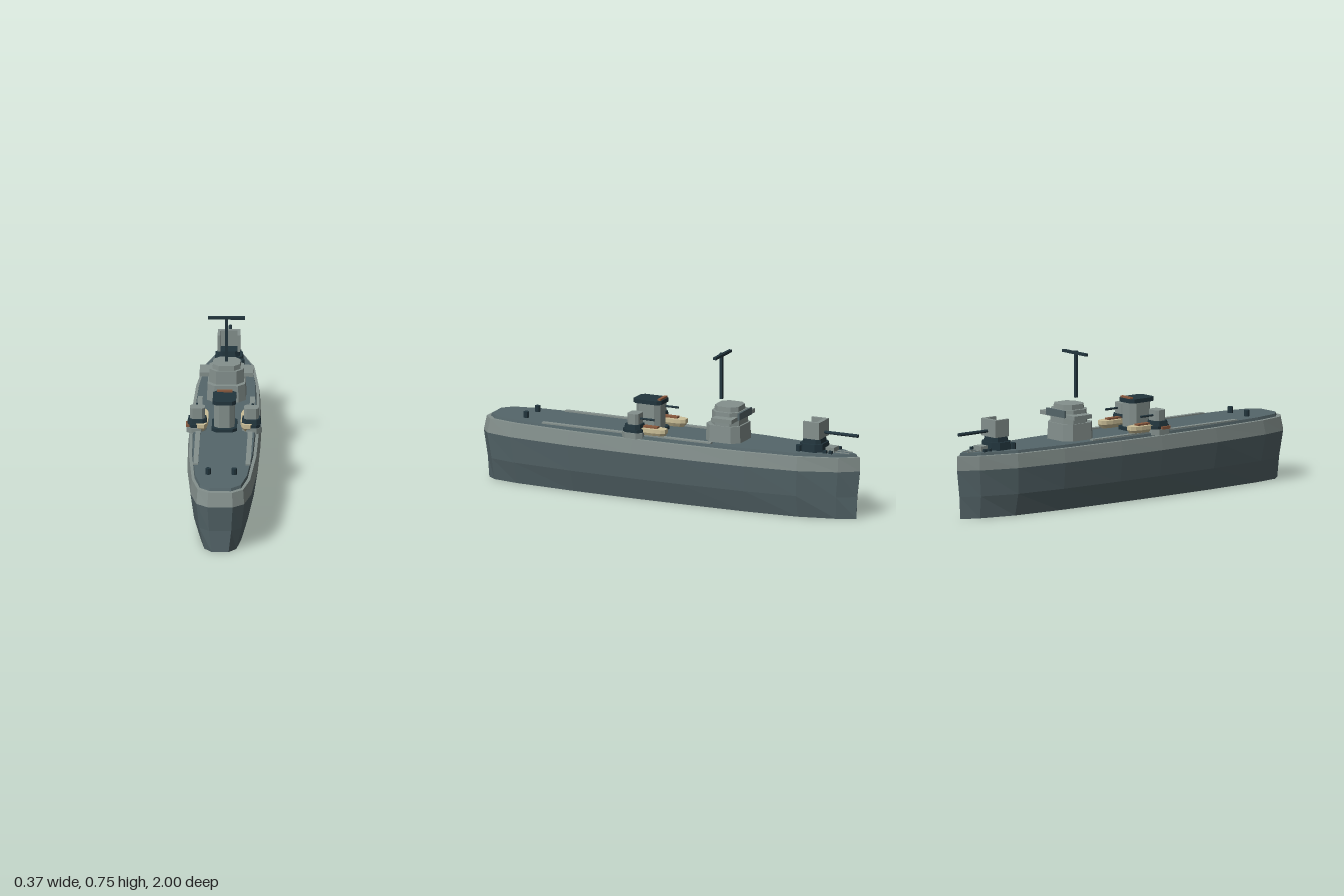
import * as THREE from 'three';

const mat = (name, color, side = THREE.FrontSide) => {
  const m = new THREE.MeshStandardMaterial({ color, flatShading: true, side });
  m.name = name;
  return m;
};

// Joins closed rings of [x, y, z] points (clockwise from above), with optional end caps.
function loft(rings, capBottom = true, capTop = true) {
  const n = rings[0].length, pos = [];
  const tri = (...p) => p.forEach((v) => pos.push(...v));
  for (let r = 0; r < rings.length - 1; r++) {
    for (let i = 0; i < n; i++) {
      const j = (i + 1) % n, lo = rings[r], up = rings[r + 1];
      tri(lo[i], up[i], up[j]);
      tri(lo[i], up[j], lo[j]);
    }
  }
  const centre = (ring) => [0, 1, 2].map((k) => ring.reduce((s, p) => s + p[k], 0) / n);
  const bottom = rings[0], top = rings[rings.length - 1];
  const cb = centre(bottom), ct = centre(top);
  for (let i = 0; i < n; i++) {
    const j = (i + 1) % n;
    if (capBottom) tri(cb, bottom[i], bottom[j]);
    if (capTop) tri(ct, top[j], top[i]);
  }
  const g = new THREE.BufferGeometry();
  g.setAttribute('position', new THREE.Float32BufferAttribute(pos, 3));
  g.computeVertexNormals();
  return g;
}

// Block with chamfered corners; top = scale of the upper outline.
function prism(w, h, d, c, top = 1) {
  const x = w / 2, z = d / 2;
  const right = [[x - c, -z], [x, c - z], [x, z - c], [x - c, z]];
  const outline = [...right, ...right.map(([a, b]) => [-a, b]).reverse()];
  return loft([[1, 0], [top, h]].map(([s, y]) => outline.map(([a, b]) => [a * s, y, b * s])));
}

// Half-widths from bow to stern: [z, x]
const HULL = [[-1, 0.001], [-0.91, 0.063], [-0.72, 0.13], [-0.45, 0.16], [-0.1, 0.173], [0.15, 0.176],
  [0.5, 0.171], [0.82, 0.148], [0.955, 0.116], [1, 0.061]];
const BOAT = [[-0.11, 0.015], [-0.09, 0.027], [-0.055, 0.033], [0.055, 0.033], [0.09, 0.027], [0.11, 0.015]];

function ring(half, y, sx, sz, bowScale = sz) {
  const right = half.map(([z, x]) => [x * sx, y, z * (z < 0 ? bowScale : sz)]);
  return [...right, ...right.map(([x, yy, z]) => [-x, yy, z]).reverse()];
}

export function createModel() {
  const model = new THREE.Group();
  model.name = 'patrolShip';
  const light = mat('lightGrey', 0x84908d, THREE.DoubleSide);
  const mid = mat('slateGrey', 0x55666a, THREE.DoubleSide);
  const dark = mat('darkSteel', 0x22353d);
  const cream = mat('cream', 0xcbbf98);
  const brown = mat('brown', 0x8b5a3e);

  const add = (parent, name, geo, material, x = 0, y = 0, z = 0) => {
    const m = new THREE.Mesh(geo, material);
    m.name = name;
    m.position.set(x, y, z);
    parent.add(m);
    return m;
  };
  const box = (parent, name, material, w, h, d, x, y, z) =>
    add(parent, name, new THREE.BoxGeometry(w, h, d), material, x, y, z);
  const group = (name, x = 0, y = 0, z = 0) => {
    const g = new THREE.Group();
    g.name = name;
    g.position.set(x, y, z);
    model.add(g);
    return g;
  };

  // Hull, open underneath, and deck
  const waist = ring(HULL, 0.24, 1, 1);
  add(model, 'lowerHull',
    loft([ring(HULL, 0, 0.67, 0.98), ring(HULL, 0.11, 0.885, 0.982, 0.985), waist], false, false), mid);
  add(model, 'upperHull', loft([waist, ring(HULL, 0.31, 0.955, 0.985, 1)], false, true), light);
  add(model, 'deck', loft([ring(HULL, 0.311, 0.87, 0.965, 0.985), ring(HULL, 0.325, 0.85, 0.96, 0.98)], false), mid);
  for (const s of [-1, 1]) {
    box(model, 'sideStrip', light, 0.024, 0.007, 0.91, s * 0.127, 0.328, 0.195);
    for (const z of [-0.7, 0.77]) {
      add(model, 'bollard', new THREE.CylinderGeometry(0.014, 0.014, 0.032, 8), dark, s * 0.063, 0.339, z);
    }
    for (const z of [-0.865, -0.835]) box(model, 'cleat', dark, 0.014, 0.015, 0.018, s * 0.05, 0.331, z);
    box(model, 'anchorRail', light, 0.006, 0.004, 0.1, s * 0.017, 0.327, -0.9);
  }
  box(model, 'winch', light, 0.055, 0.024, 0.045, 0, 0.337, -0.85);

  // Bridge
  const bridge = group('bridge', 0, 0, -0.29);
  add(bridge, 'bridgeBase', prism(0.19, 0.085, 0.187, 0.035, 0.96), light, 0, 0.323, 0);
  add(bridge, 'wheelhouse', prism(0.17, 0.068, 0.148, 0.035, 0.98), light, 0, 0.407, -0.008);
  add(bridge, 'bridgeRoof', prism(0.136, 0.025, 0.13, 0.03, 0.97), light, 0, 0.474, -0.008);
  box(bridge, 'bridgeWing', light, 0.262, 0.02, 0.11, 0, 0.445, -0.025);
  box(bridge, 'bridgeWindow', mid, 0.14, 0.035, 0.009, 0, 0.458, -0.088);

  // Mast
  const mast = group('mast', 0, 0, -0.252);
  box(mast, 'mastPole', dark, 0.014, 0.23, 0.014, 0, 0.635, 0);
  box(mast, 'mastCrossbar', dark, 0.178, 0.013, 0.016, 0, 0.741, -0.006);

  // Funnel
  const funnel = group('funnel', 0, 0, 0.128);
  add(funnel, 'funnelBase', prism(0.122, 0.018, 0.16, 0.02), dark, 0, 0.323, 0);
  add(funnel, 'funnelBody', prism(0.1, 0.125, 0.13, 0.024), light, 0, 0.34, 0);
  add(funnel, 'funnelCap', prism(0.113, 0.02, 0.15, 0.018), dark, 0, 0.462, 0);
  box(funnel, 'funnelStripe', brown, 0.076, 0.009, 0.016, 0, 0.486, -0.062);

  // Bow gun with a shield open at the rear and on top
  const gun = group('bowGun', 0, 0, -0.755);
  add(gun, 'gunBase', prism(0.14, 0.04, 0.125, 0.03, 0.95), dark, 0, 0.323, 0);
  add(gun, 'gunMount', prism(0.105, 0.03, 0.1, 0.02, 0.92), dark, 0, 0.362, 0);
  box(gun, 'shieldFront', light, 0.11, 0.085, 0.02, 0, 0.43, -0.04);
  for (const s of [-1, 1]) box(gun, 'shieldSide', light, 0.014, 0.085, 0.07, s * 0.048, 0.43, 0.002);
  const barrel = add(gun, 'gunBarrel', new THREE.CylinderGeometry(0.008, 0.009, 0.18, 8), dark, 0, 0.416, -0.145);
  barrel.rotation.x = Math.PI / 2;

  // Ship's boats and side guns, one pair on each beam
  for (const s of [-1, 1]) {
    const boat = group('boat', s * 0.112, 0, 0.1);
    add(boat, 'boatHull', loft([ring(BOAT, 0.326, 0.7, 0.88), ring(BOAT, 0.345, 1, 1), ring(BOAT, 0.364, 1, 1)]), cream);
    box(boat, 'boatCover', brown, 0.027, 0.009, 0.1, 0, 0.368, -0.015);

    const mount = group('sideGun', s * 0.135, 0, 0.152);
    add(mount, 'gunTub', prism(0.095, 0.028, 0.11, 0.025), light, 0, 0.316, 0);
    add(mount, 'tubRim', prism(0.08, 0.016, 0.104, 0.02), dark, 0, 0.344, 0);
    add(mount, 'sideGunBase', prism(0.095, 0.025, 0.088, 0.02, 0.9), dark, -s * 0.004, 0.358, 0);
    add(mount, 'sideGunShield', prism(0.072, 0.053, 0.06, 0.012), light, -s * 0.004, 0.383, -0.002);
    const tube = add(mount, 'sideGunBarrel', new THREE.CylinderGeometry(0.005, 0.006, 0.08, 6), dark, 0, 0.41, -0.067);
    tube.rotation.x = Math.PI / 2;
  }
  box(model, 'ammunitionBox', brown, 0.022, 0.014, 0.05, -0.175, 0.35, 0.165);
  return model;
}
